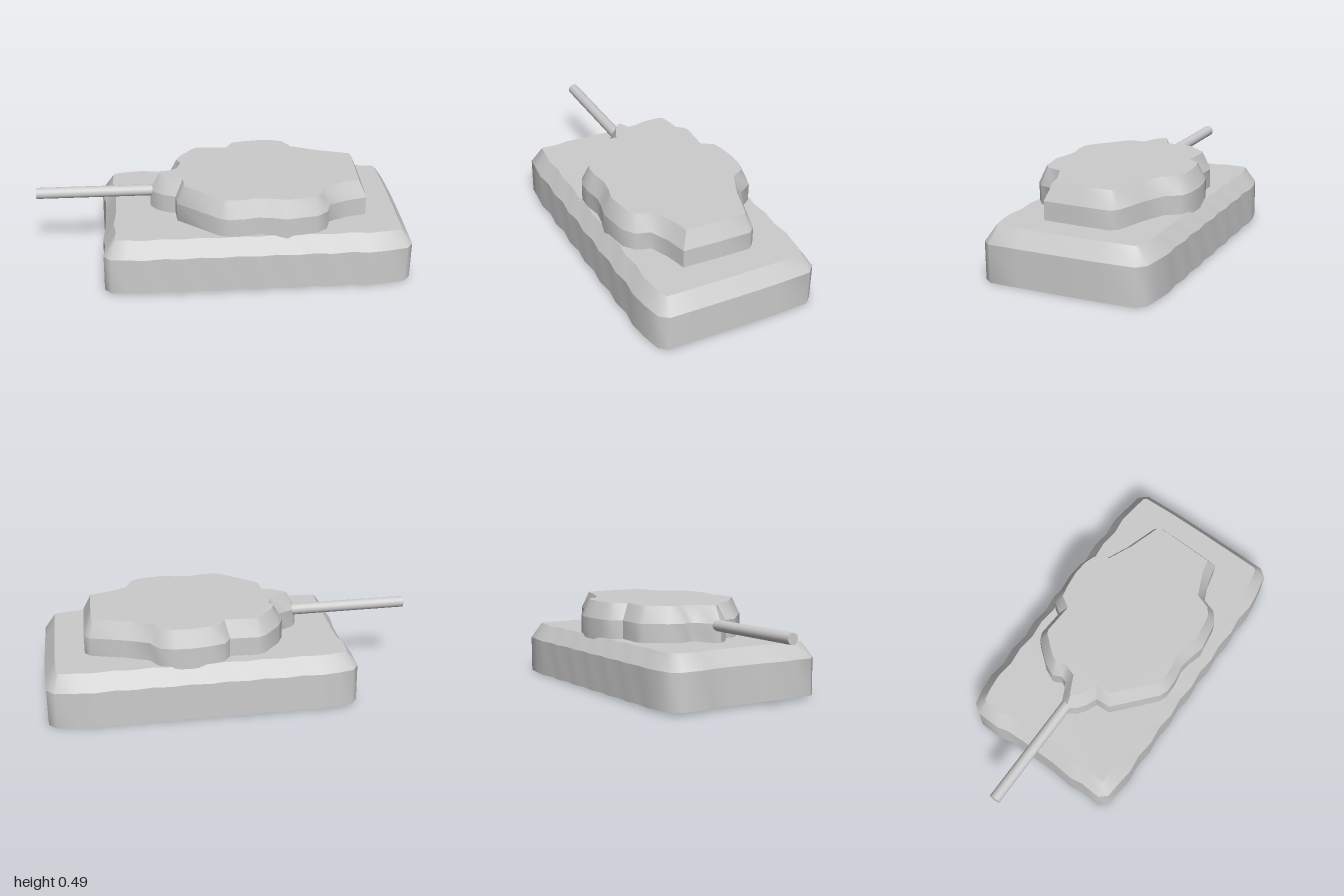
import * as THREE from 'three';
import { mergeGeometries, toCreasedNormals } from 'three/addons/utils/BufferGeometryUtils.js';

const grey = new THREE.MeshStandardMaterial({ color: 0xcccccc });

// Move an [x, z] outline inwards by d with mitred corners
function inset(pts, d) {
  const n = pts.length;
  const normal = (a, b) => new THREE.Vector2(b[1] - a[1], a[0] - b[0]).normalize();
  return pts.map((p, i) => {
    const n1 = normal(pts[(i + n - 1) % n], p);
    const n2 = normal(p, pts[(i + 1) % n]);
    const k = d / (1 + n1.dot(n2));
    return [p[0] - (n1.x + n2.x) * k, p[1] - (n1.y + n2.y) * k];
  });
}

function geometry(pos) {
  const g = new THREE.BufferGeometry();
  g.setAttribute('position', new THREE.Float32BufferAttribute(pos, 3));
  return toCreasedNormals(g, 0.85);
}

// Wall strip between two rings
function band(r0, y0, r1, y1) {
  const pos = [];
  r0.forEach((p, i) => {
    const j = (i + 1) % r0.length;
    const a = [p[0], y0, p[1]], b = [r0[j][0], y0, r0[j][1]];
    const c = [r1[j][0], y1, r1[j][1]], d = [r1[i][0], y1, r1[i][1]];
    pos.push(...a, ...d, ...c, ...a, ...c, ...b);
  });
  return geometry(pos);
}

// Flat lid over a ring, facing up or down
function cap(ring, y, up) {
  const v = ring.map(p => new THREE.Vector2(p[0], p[1]));
  const pos = [];
  for (const [a, b, c] of THREE.ShapeUtils.triangulateShape(v, [])) {
    const facesUp = THREE.ShapeUtils.area([v[a], v[b], v[c]]) < 0;
    for (const k of facesUp === up ? [a, b, c] : [a, c, b]) pos.push(v[k].x, y, v[k].y);
  }
  return geometry(pos);
}

// Slab with upright walls and a sloped upper edge
function slab(name, ring, y0, y1, y2, d) {
  const top = inset(ring, d);
  const mesh = new THREE.Mesh(mergeGeometries([
    band(ring, y0, ring, y1), band(ring, y1, top, y2), cap(ring, y0, false), cap(top, y2, true),
  ]), grey);
  mesh.name = name;
  return mesh;
}

export function createModel() {
  const model = new THREE.Group();
  model.name = 'tank';

  // Hull outline with gently scalloped long sides
  const back = [], front = [];
  for (let i = 0; i <= 14; i++) {
    const x = -0.53 + i * 0.098;
    const wave = i % 2 ? 0.47 : 0.459;
    back.push([x, -wave]);
    front.unshift([x, wave - 0.002]);
  }
  const hull = [
    [-0.645, -0.39], [-0.61, -0.44], ...back, [0.95, -0.445], [0.992, -0.4],
    [0.997, -0.2], [0.995, 0], [0.99, 0.22], [0.985, 0.39], [0.95, 0.435],
    ...front, [-0.61, 0.45], [-0.645, 0.41], [-0.637, 0.3], [-0.647, 0.23],
    [-0.635, 0.1], [-0.632, -0.1], [-0.634, -0.2], [-0.65, -0.26],
  ];
  model.add(slab('hull', hull, 0, 0.2, 0.285, 0.058));

  // Turret outline: nose, back side, rear end, front side
  const turret = [
    [-0.36, 0.06], [-0.388, 0.015], [-0.365, -0.025],
    [-0.275, -0.07], [-0.262, -0.105], [-0.282, -0.15], [-0.25, -0.22],
    [-0.16, -0.325], [-0.12, -0.343], [0.03, -0.335], [0.065, -0.39],
    [0.14, -0.408], [0.24, -0.42], [0.33, -0.415], [0.405, -0.39], [0.45, -0.315],
    [0.57, -0.262], [0.75, -0.205], [0.78, -0.17],
    [0.775, 0], [0.765, 0.2], [0.66, 0.225], [0.555, 0.27], [0.53, 0.345],
    [0.47, 0.39], [0.31, 0.415], [0.23, 0.395], [0.16, 0.385], [0.08, 0.4],
    [0, 0.4], [-0.045, 0.38], [-0.25, 0.2], [-0.255, 0.12], [-0.315, 0.095],
  ];
  model.add(slab('turret', turret, 0.27, 0.385, 0.476, 0.042));

  // Gun barrel
  const barrel = new THREE.Mesh(new THREE.CylinderGeometry(0.03, 0.03, 0.72, 24), grey);
  barrel.name = 'barrel';
  barrel.rotation.z = Math.PI / 2;
  barrel.position.set(-0.64, 0.375, 0.007);
  model.add(barrel);

  // The whole body leans down slightly towards the rear
  model.rotation.z = -0.0085;
  model.position.y = 0.0085;
  const root = new THREE.Group();
  root.add(model);
  return root;
}
